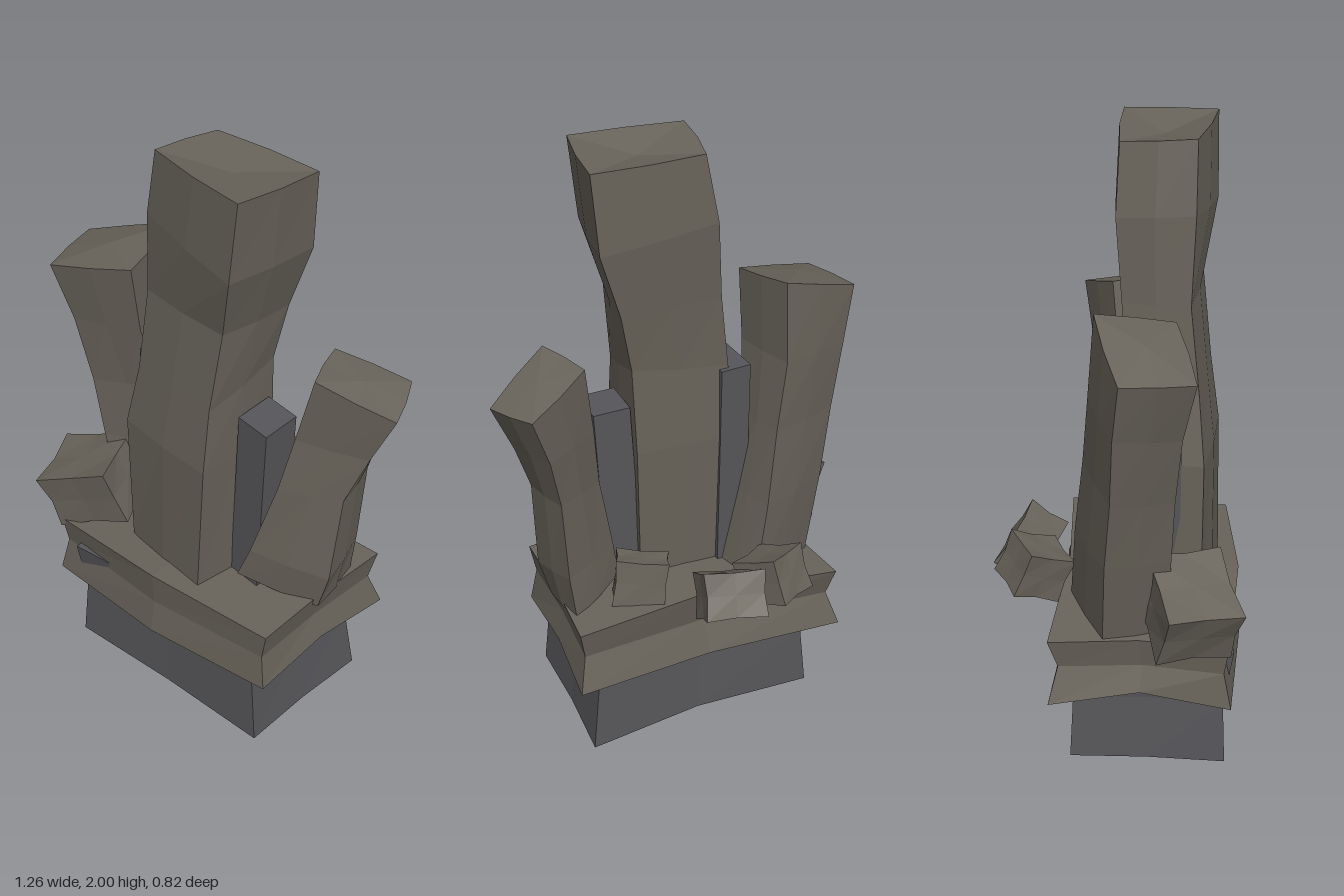
import * as THREE from 'three';

const stone = new THREE.MeshStandardMaterial({ color: 0x68635a, flatShading: true });
const slate = new THREE.MeshStandardMaterial({ color: 0x56565a, flatShading: true });

// Lofts four-cornered rings (back left, front left, front right, back right), from bottom to top.
// Edge midpoints move outwards by bulge [-x, front, +x, back]; dome lifts the centre of the top.
function loft(name, rings, material, bulge, dome = 0) {
  const loops = rings.map((corners) => {
    const pts = corners.map((c) => new THREE.Vector3(...c));
    return pts.flatMap((p, i) => {
      const q = pts[(i + 1) % 4];
      const out = new THREE.Vector3(-(q.z - p.z), 0, q.x - p.x).normalize();
      return [p, p.clone().add(q).multiplyScalar(0.5).addScaledVector(out, bulge[i])];
    });
  });
  const verts = [];
  const tri = (...points) => points.forEach((p) => verts.push(p.x, p.y, p.z));
  const n = loops[0].length;
  const centre = (loop) => loop.reduce((s, p) => s.add(p), new THREE.Vector3()).divideScalar(n);
  const bottom = loops[0];
  const top = loops[loops.length - 1];
  const low = centre(bottom);
  const high = centre(top);
  high.y += dome;
  for (let j = 0; j < n; j++) {
    const k = (j + 1) % n;
    for (let i = 0; i < loops.length - 1; i++) {
      const [a, b, c, d] = [loops[i][j], loops[i][k], loops[i + 1][k], loops[i + 1][j]];
      tri(a, b, c);
      tri(a, c, d);
    }
    tri(high, top[j], top[k]);
    tri(low, bottom[k], bottom[j]);
  }
  const geometry = new THREE.BufferGeometry();
  geometry.setAttribute('position', new THREE.Float32BufferAttribute(verts, 3));
  geometry.computeVertexNormals();
  const mesh = new THREE.Mesh(geometry, material);
  mesh.name = name;
  return mesh;
}

// Chipped block with slightly hollow edges and faces
function block(name, size, position, rotation) {
  const geometry = new THREE.BoxGeometry(...size, 2, 2, 2);
  const pos = geometry.attributes.position;
  const v = new THREE.Vector3();
  for (let i = 0; i < pos.count; i++) {
    v.fromBufferAttribute(pos, i);
    const sides = [v.x, v.y, v.z].filter((t) => Math.abs(t) > 1e-4).length;
    v.multiplyScalar(sides === 3 ? 1.02 : 0.95);
    pos.setXYZ(i, v.x, v.y, v.z);
  }
  geometry.computeVertexNormals();
  const mesh = new THREE.Mesh(geometry, stone);
  mesh.name = name;
  mesh.position.set(...position);
  mesh.rotation.set(...rotation, 'YXZ');
  return mesh;
}

export function createModel() {
  const group = new THREE.Group();
  group.name = 'stoneOutcrop';
  const straight = [0, 0, 0, 0];
  const rough = [0.006, 0.006, 0.006, 0.006];

  // Dark plinth, showing through the upper front of the slab
  group.add(loft('plinth', [
    [[-0.41, 0.02, -0.14], [-0.41, 0.02, 0.36], [0.38, 0.02, 0.35], [0.39, 0, -0.16]],
    [[-0.39, 0.24, -0.13], [-0.39, 0.24, 0.35], [0.36, 0.24, 0.34], [0.36, 0.24, -0.14]],
    [[-0.4, 0.43, -0.13], [-0.4, 0.43, 0.38], [0.34, 0.43, 0.33], [0.34, 0.43, -0.14]],
  ], slate, [-0.008, -0.008, -0.008, -0.035]));

  // Rough slab with flared corners, bowed front and hollow back
  const slab = loft('slab', [
    [[-0.5, 0.28, -0.2], [-0.49, 0.28, 0.375], [0.42, 0.29, 0.355], [0.45, 0.29, -0.22]],
    [[-0.46, 0.4, -0.17], [-0.47, 0.4, 0.35], [0.4, 0.41, 0.34], [0.42, 0.41, -0.18]],
    [[-0.48, 0.5, -0.2], [-0.48, 0.5, 0.365], [0.42, 0.51, 0.345], [0.44, 0.51, -0.2]],
  ], stone, [-0.03, 0.035, -0.01, -0.03], 0.01);
  const p = slab.geometry.attributes.position;
  for (let i = 0; i < p.count; i++) {
    const [x, y, z] = [p.getX(i), p.getY(i), p.getZ(i)];
    if (Math.abs(x) < 0.1 && y > 0.45) p.setY(i, 0.53);
    if (Math.abs(x) > 0.38 && Math.abs(z - 0.08) < 0.1 && y < 0.35) p.setY(i, 0.315);
  }
  slab.geometry.computeVertexNormals();
  group.add(slab);

  // Tall middle column
  group.add(loft('middleColumn', [
    [[-0.22, 0.5, 0.02], [-0.23, 0.52, 0.27], [0.105, 0.5, 0.32], [0.14, 0.5, 0.02]],
    [[-0.2, 1.0, 0.01], [-0.235, 1.0, 0.27], [0.13, 1.0, 0.31], [0.15, 1.0, 0.01]],
    [[-0.17, 1.25, 0.02], [-0.19, 1.22, 0.25], [0.13, 1.22, 0.28], [0.16, 1.3, 0.02]],
    [[-0.14, 1.5, 0.01], [-0.17, 1.5, 0.22], [0.16, 1.5, 0.25], [0.2, 1.5, 0]],
    [[-0.12, 1.76, -0.01], [-0.15, 1.78, 0.23], [0.22, 1.72, 0.29], [0.27, 1.72, -0.02]],
    [[-0.08, 1.98, 0], [-0.11, 2, 0.23], [0.25, 1.99, 0.285], [0.29, 1.98, -0.01]],
  ], stone, [0.008, 0.008, 0.008, 0.008], -0.03));

  // Leaning column on the -x side
  group.add(loft('rightColumn', [
    [[-0.2, 0.5, -0.15], [-0.45, 0.5, -0.03], [-0.39, 0.5, 0.17], [-0.14, 0.5, 0.02]],
    [[-0.25, 0.78, -0.13], [-0.5, 0.78, -0.02], [-0.44, 0.78, 0.18], [-0.2, 0.78, 0.05]],
    [[-0.29, 1.04, -0.1], [-0.54, 1.02, 0], [-0.47, 1.0, 0.19], [-0.25, 1.02, 0.09]],
    [[-0.33, 1.27, -0.08], [-0.58, 1.25, 0.01], [-0.52, 1.23, 0.21], [-0.28, 1.26, 0.15]],
    [[-0.33, 1.54, -0.06], [-0.62, 1.44, 0.03], [-0.57, 1.43, 0.25], [-0.28, 1.5, 0.18]],
  ], stone, rough, 0.015));

  // Leaning column on the +x side
  group.add(loft('leftColumn', [
    [[0.22, 0.55, 0.02], [0.19, 0.56, 0.22], [0.43, 0.48, 0.1], [0.41, 0.5, -0.09]],
    [[0.24, 0.68, 0.01], [0.235, 0.68, 0.21], [0.47, 0.62, 0.1], [0.43, 0.66, -0.09]],
    [[0.29, 0.95, -0.01], [0.31, 0.95, 0.17], [0.49, 0.94, 0.07], [0.45, 0.95, -0.1]],
    [[0.31, 1.15, -0.03], [0.35, 1.15, 0.14], [0.55, 1.11, 0.03], [0.49, 1.13, -0.13]],
    [[0.34, 1.38, -0.05], [0.41, 1.39, 0.13], [0.625, 1.28, 0.01], [0.55, 1.3, -0.16]],
  ], stone, rough, 0.01));

  // Slim dark posts either side of the middle column
  group.add(loft('rightPost', [
    [[-0.24, 0.4, 0.01], [-0.23, 0.4, 0.2], [-0.12, 0.4, 0.18], [-0.13, 0.4, 0]],
    [[-0.245, 1.24, 0.01], [-0.235, 1.24, 0.2], [-0.13, 1.24, 0.18], [-0.14, 1.24, 0]],
  ], slate, straight));
  group.add(loft('leftPost', [
    [[0.12, 0.4, 0.04], [0.12, 0.4, 0.18], [0.24, 0.4, 0.19], [0.24, 0.4, 0.05]],
    [[0.16, 1.16, 0.04], [0.16, 1.16, 0.18], [0.28, 1.15, 0.19], [0.28, 1.15, 0.05]],
  ], slate, straight));

  // Loose chipped blocks
  group.add(block('frontBlock', [0.27, 0.2, 0.24], [-0.435, 0.625, 0.235], [0.08, 0.36, 0.38]));
  group.add(block('backBlock', [0.16, 0.15, 0.165], [-0.205, 0.61, -0.265], [0.4, 0.56, 0.1]));
  group.add(block('backBlockInner', [0.2, 0.15, 0.14], [-0.04, 0.6, -0.295], [0.55, -0.13, 0.08]));
  group.add(block('smallBlock', [0.17, 0.16, 0.1], [0.183, 0.585, -0.08], [0.15, -0.38, 0.1]));

  return group;
}
